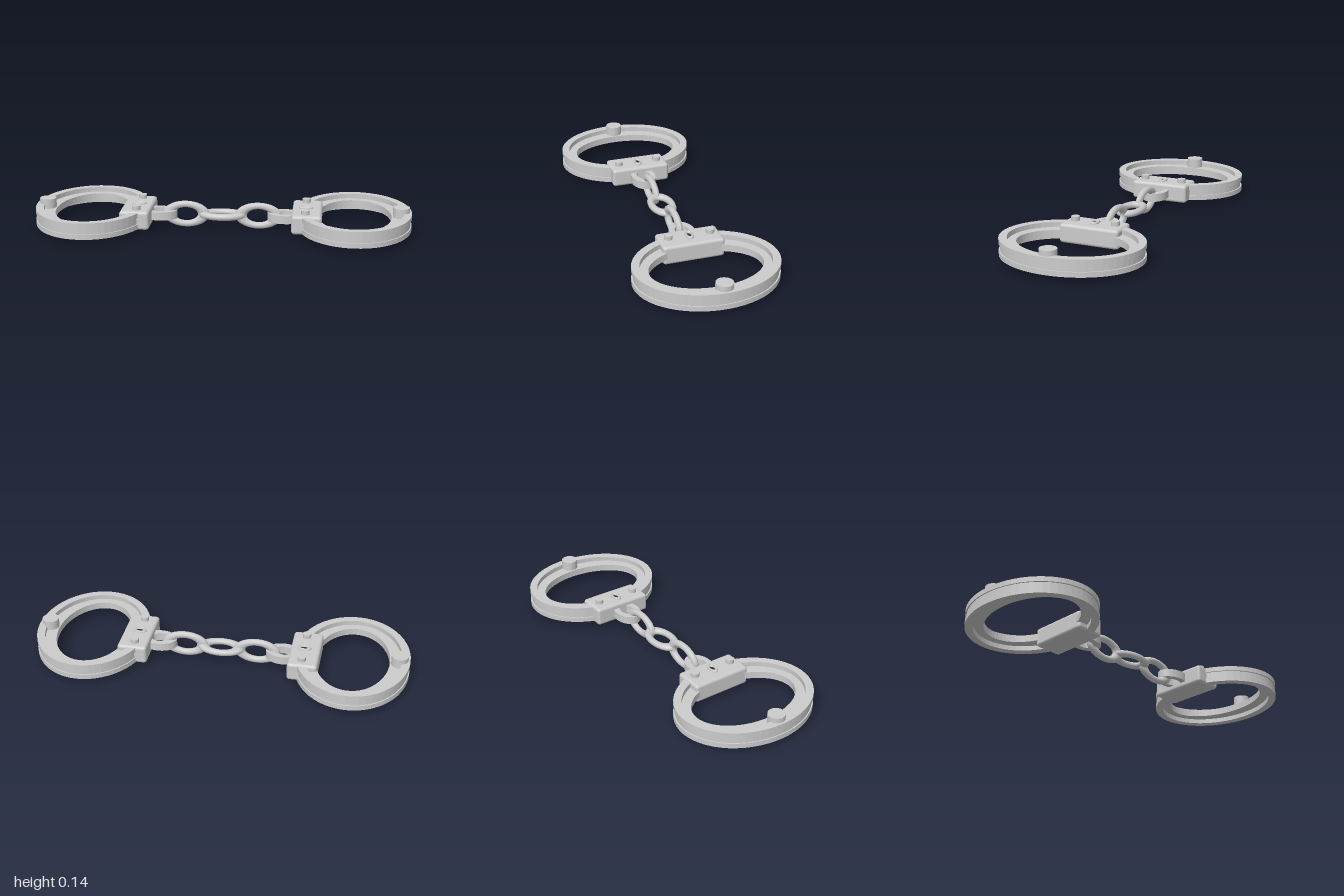
import * as THREE from 'three';
import { RoundedBoxGeometry } from 'three/addons/geometries/RoundedBoxGeometry.js';

const metal = new THREE.MeshStandardMaterial({ color: 0xcccccc });
const dark = new THREE.MeshStandardMaterial({ color: 0x333333 });

function add(parent, name, geometry, x = 0, y = 0, z = 0, material = metal) {
  const mesh = new THREE.Mesh(geometry, material);
  mesh.name = name;
  mesh.position.set(x, y, z);
  parent.add(mesh);
  return mesh;
}

// Flat elliptical band lying in the xz plane, its underside at y = 0
function band(outerX, outerZ, innerX, innerZ, height) {
  const shape = new THREE.Shape().absellipse(0, 0, outerX, outerZ, 0, Math.PI * 2);
  shape.holes.push(new THREE.Path().absellipse(0, 0, innerX, innerZ, 0, Math.PI * 2));
  return new THREE.ExtrudeGeometry(shape, { depth: height, bevelEnabled: false, curveSegments: 28 })
    .rotateX(-Math.PI / 2);
}

// Oval chain link, stretched along x and standing in the xy plane
function link() {
  return new THREE.TorusGeometry(0.054, 0.018, 10, 40).scale(1.74, 1, 1);
}

function createCuff(side) {
  const cuff = new THREE.Group();
  cuff.name = side > 0 ? 'leftCuff' : 'rightCuff';

  // Two outer cheek plates with a wider strand between them
  const plate = band(0.3, 0.368, 0.257, 0.328, 0.026);
  add(cuff, 'lowerCheekPlate', plate, side * 0.7, 0.028, 0);
  add(cuff, 'upperCheekPlate', plate, side * 0.7, 0.089, 0);
  add(cuff, 'middleStrand', band(0.294, 0.36, 0.195, 0.287, 0.037), side * 0.7, 0.053, 0);

  // Hinge rivet at the far end
  add(cuff, 'hingeRivet', new THREE.CylinderGeometry(0.044, 0.044, 0.055, 24), side * 0.945, 0.1135, 0);

  // Lock case with two pins and a rimmed keyhole
  add(cuff, 'lockCase', new RoundedBoxGeometry(0.157, 0.1, 0.322, 3, 0.016), side * 0.452, 0.072, 0);
  for (const z of [-0.11, 0.11]) {
    add(cuff, 'lockPin', new THREE.CylinderGeometry(0.022, 0.022, 0.04, 20), side * 0.445, 0.124, z);
  }
  const rim = new THREE.TorusGeometry(0.028, 0.01, 8, 28).rotateX(Math.PI / 2).scale(1, 1, 0.56);
  add(cuff, 'keyholeRim', rim, side * 0.445, 0.123, 0);
  const slot = new THREE.CylinderGeometry(0.025, 0.025, 0.004, 24).scale(1, 1, 0.56);
  add(cuff, 'keyhole', slot, side * 0.445, 0.122, 0, dark);

  // Flat loop joining the lock case to the chain
  add(cuff, 'chainLoop', band(0.093, 0.066, 0.05, 0.036, 0.044), side * 0.335, 0.05, 0);
  return cuff;
}

export function createModel() {
  const model = new THREE.Group();
  model.name = 'handcuffs';
  model.add(createCuff(1), createCuff(-1));

  // Three links: the middle one lies flat, its neighbours stand upright
  const chain = new THREE.Group();
  chain.name = 'chain';
  add(chain, 'middleLink', link(), 0, 0.073, 0).rotation.x = Math.PI / 2;
  for (const side of [-1, 1]) add(chain, 'uprightLink', link(), side * 0.194, 0.073, 0);
  model.add(chain);
  return model;
}
